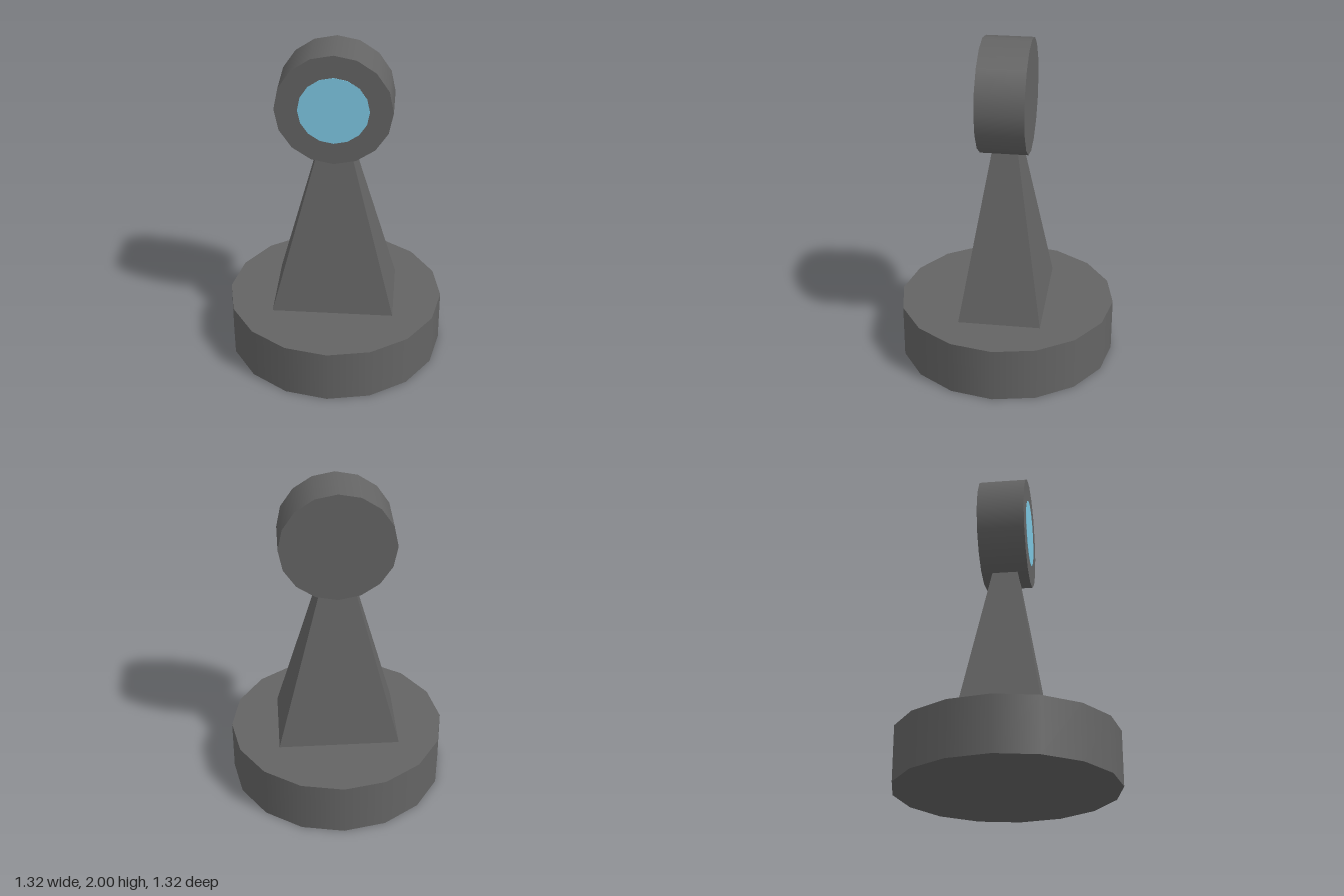
import * as THREE from 'three';

export function createModel() {
  const model = new THREE.Group();
  const grey = new THREE.MeshStandardMaterial({ color: 0x646464 });
  grey.name = 'dark grey';
  const blue = new THREE.MeshStandardMaterial({ color: 0x7ec8e3 });
  blue.name = 'light blue';

  const add = (name, geometry, material, y, z = 0) => {
    const mesh = new THREE.Mesh(geometry, material);
    mesh.name = name;
    mesh.position.set(0, y, z);
    model.add(mesh);
  };

  // Round foot with 16 sides
  add('base', new THREE.CylinderGeometry(0.66, 0.66, 0.33, 16), grey, 0.165);

  // Stand: a box tapering upwards into the head
  const bottom = 0.33, top = 1.5;
  const stand = new THREE.BoxGeometry(2, top - bottom, 2);
  const p = stand.attributes.position;
  for (let i = 0; i < p.count; i++) {
    const upper = p.getY(i) > 0;
    p.setX(i, p.getX(i) * (upper ? 0.062 : 0.368));
    p.setZ(i, p.getZ(i) * (upper ? 0.05 : 0.247));
  }
  stand.computeVertexNormals();
  add('stand', stand, grey, (bottom + top) / 2);

  // Drum-shaped head facing forward
  const head = new THREE.CylinderGeometry(0.34, 0.34, 0.284, 16).rotateX(Math.PI / 2);
  add('head', head, grey, 1.66);

  // Lens as a thin disc on the front of the head
  const lens = new THREE.CylinderGeometry(0.206, 0.206, 0.004, 16).rotateX(Math.PI / 2);
  add('lens', lens, blue, 1.66, 0.142);

  return model;
}
